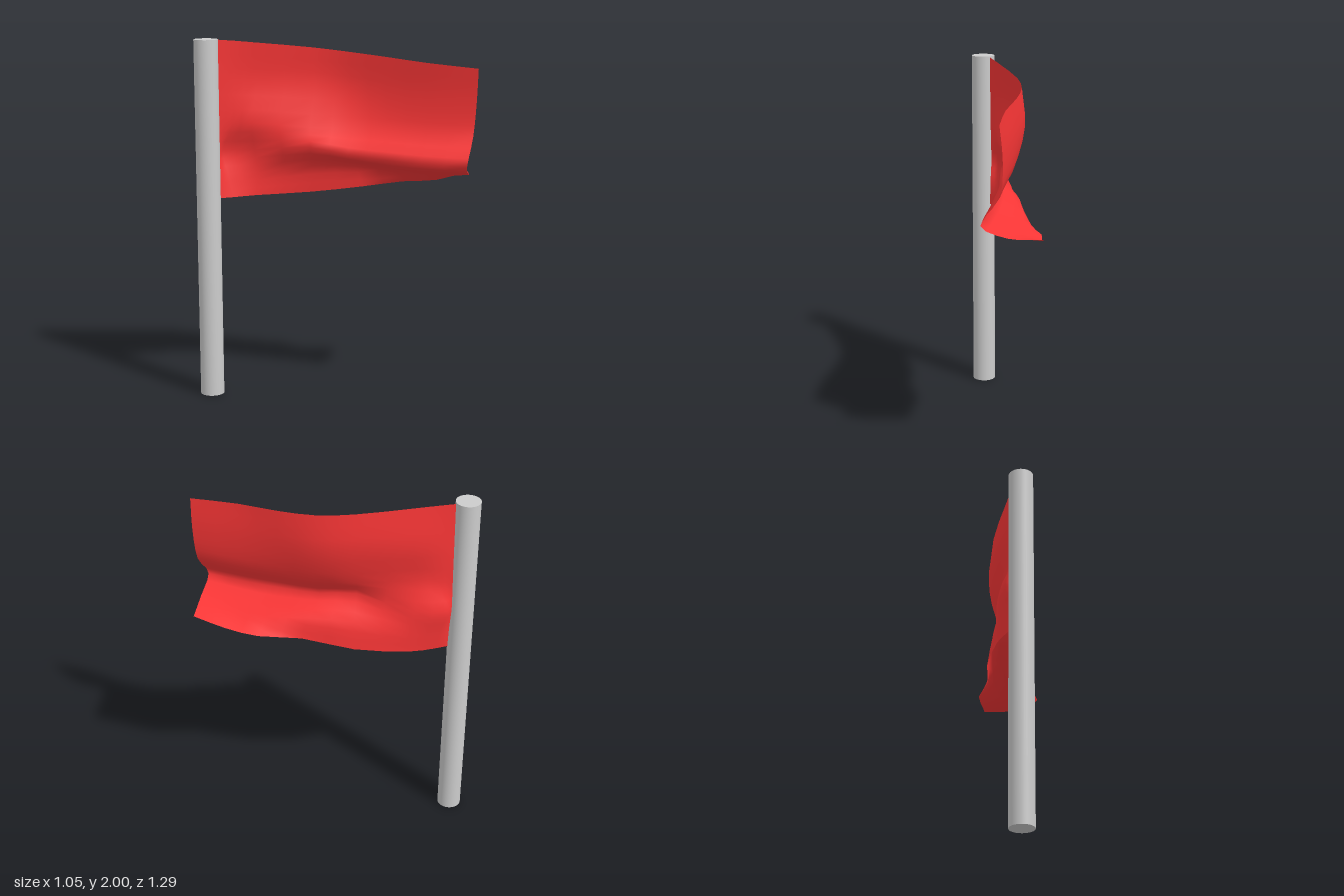
import * as THREE from 'three';

// Cloth lines from hem to hem, each running from the pole to the free edge
const clothLines = [
  // top hem
  [[-.4, 1.995, -.55], [-.33, 1.988, -.49], [-.25, 1.978, -.42], [-.02, 1.948, -.21], [.1, 1.925, -.05], [.185, 1.902, .16], [.25, 1.88, .38], [.365, 1.857, .635]],
  [[-.4, 1.77, -.555], [-.33, 1.77, -.505], [-.235, 1.76, -.43], [0, 1.74, -.21], [.12, 1.72, -.05], [.19, 1.7, .15], [.265, 1.69, .37], [.375, 1.68, .62]],
  // upper side of the fold, pushed forwards near the pole
  [[-.4, 1.54, -.56], [-.34, 1.54, -.505], [-.275, 1.54, -.43], [-.06, 1.51, -.19], [.08, 1.5, 0], [.17, 1.5, .19], [.25, 1.49, .385], [.355, 1.49, .615]],
  // inner crease of the fold, pushed backwards near the pole
  [[-.4, 1.38, -.565], [-.358, 1.38, -.572], [-.225, 1.38, -.455], [-.1, 1.41, -.15], [0, 1.375, .03], [.09, 1.355, .235], [.165, 1.345, .41], [.26, 1.34, .645]],
  [[-.4, 1.25, -.555], [-.345, 1.25, -.545], [-.21, 1.25, -.445], [-.02, 1.29, -.21], [.125, 1.29, -.01], [.25, 1.265, .19], [.31, 1.265, .37], [.38, 1.275, .575]],
  // bottom hem, swept outwards
  [[-.4, 1.12, -.55], [-.33, 1.12, -.515], [-.22, 1.123, -.45], [0, 1.137, -.235], [.165, 1.172, 0], [.34, 1.195, .155], [.43, 1.21, .32], [.525, 1.262, .465]],
];

const smoothCurve = points => new THREE.CatmullRomCurve3(points, false, 'centripetal');

function createCloth() {
  const across = 14, down = 15;
  const geometry = new THREE.PlaneGeometry(1, 1, across, down);
  const position = geometry.attributes.position;
  const lines = clothLines.map(line => smoothCurve(line.map(p => new THREE.Vector3(...p))));
  for (let i = 0; i <= across; i++) {
    const section = smoothCurve(lines.map(line => line.getPoint(i / across)));
    for (let j = 0; j <= down; j++) {
      const p = section.getPoint(j / down);
      position.setXYZ(j * (across + 1) + i, p.x, p.y, p.z);
    }
  }
  geometry.computeVertexNormals();
  return geometry;
}

export function createModel() {
  const model = new THREE.Group();
  model.name = 'flagOnPole';

  // Upright pole
  const pole = new THREE.Mesh(
    new THREE.CylinderGeometry(.066, .066, 2, 32),
    new THREE.MeshStandardMaterial({ color: 0xcccccc })
  );
  pole.name = 'pole';
  pole.position.set(-.463, 1, -.58);
  model.add(pole);

  // Folded cloth
  const flag = new THREE.Mesh(
    createCloth(),
    new THREE.MeshStandardMaterial({ color: 0xfa3636, side: THREE.DoubleSide })
  );
  flag.name = 'flag';
  model.add(flag);

  return model;
}
